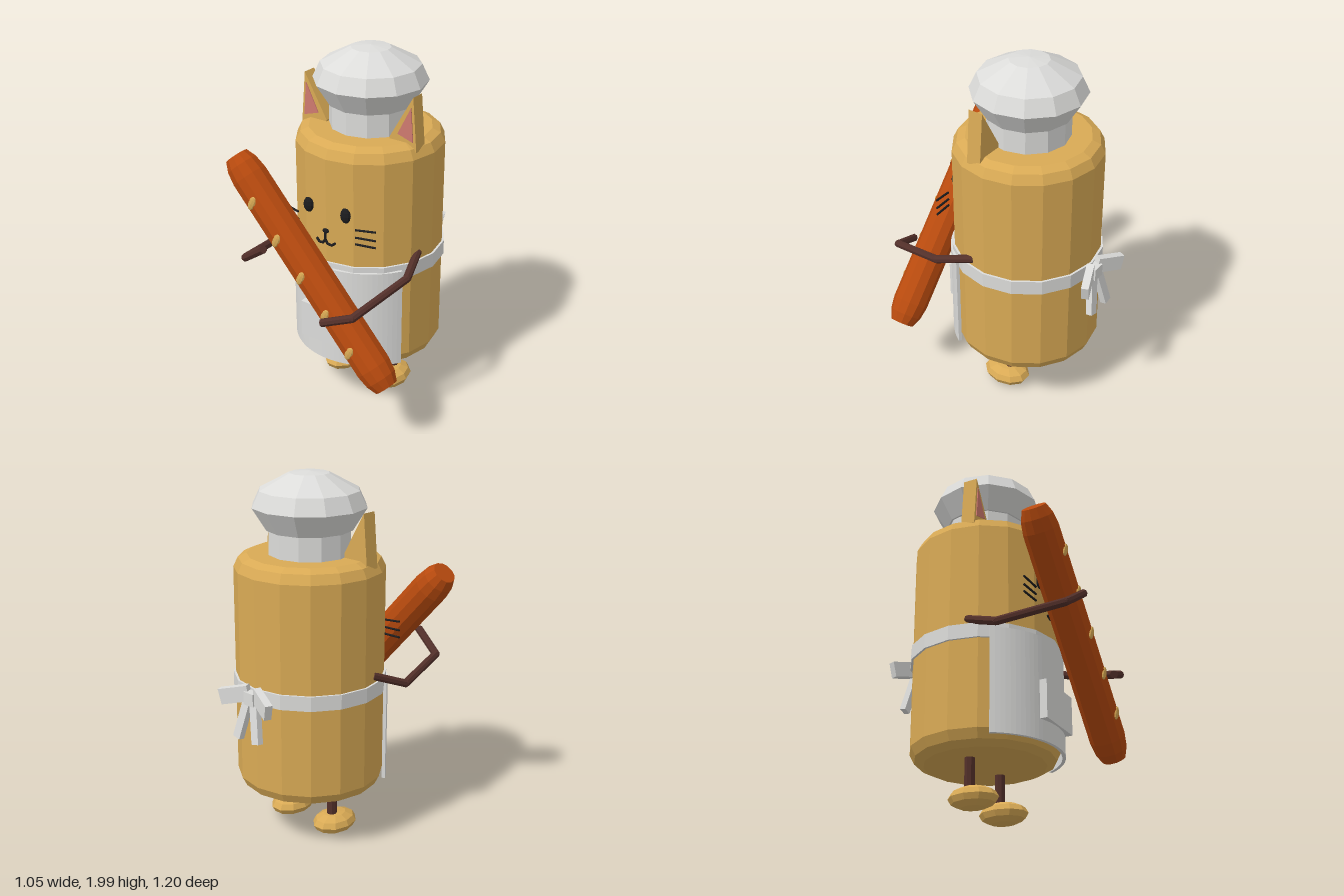
import * as THREE from 'three';

const mat = (name, color) => {
  const m = new THREE.MeshStandardMaterial({ color });
  m.name = name;
  return m;
};

export function createModel() {
  const root = new THREE.Group();
  root.name = 'bakerCat';
  const tan = mat('tan crust', 0xd9aa55);
  const white = mat('white cloth', 0xdcdcda);
  const brown = mat('dark brown', 0x53302a);
  const crust = mat('baked orange', 0xb84a0e);
  const pink = mat('ear pink', 0xcf7a70);
  const black = mat('black', 0x1c1c1e);
  const V = (x, y, z) => new THREE.Vector3(x, y, z);

  // Adds a faceted mesh
  function add(name, geo, material, pos = [0, 0, 0], rot = [0, 0, 0], parent = root) {
    const g = geo.index ? geo.toNonIndexed() : geo;
    g.computeVertexNormals();
    const mesh = new THREE.Mesh(g, material);
    mesh.name = name;
    mesh.position.set(...pos);
    mesh.rotation.set(...rot);
    parent.add(mesh);
    return mesh;
  }
  const lathe = (pts, sides) =>
    new THREE.LatheGeometry(pts.map(([r, y]) => new THREE.Vector2(r, y)), sides);
  const ball = (rx, ry, rz, w = 10, h = 6) => new THREE.SphereGeometry(1, w, h).scale(rx, ry, rz);

  // Straight rods joined through a list of points
  function rods(name, pts, radius, material) {
    const group = new THREE.Group();
    group.name = name;
    pts.slice(1).forEach((b, i) => {
      const a = pts[i];
      const d = b.clone().sub(a);
      const m = add(name + 'Segment', new THREE.CylinderGeometry(radius, radius, d.length(), 8), material,
        a.clone().add(b).multiplyScalar(0.5).toArray(), [0, 0, 0], group);
      m.quaternion.setFromUnitVectors(V(0, 1, 0), d.normalize());
      if (i > 0) add(name + 'Joint', ball(radius, radius, radius, 8, 6), material, a.toArray(), [0, 0, 0], group);
    });
    root.add(group);
  }

  const C = -0.1; // z of the body axis

  // Body
  add('body', lathe([[0, 0.28], [0.325, 0.28], [0.375, 0.305], [0.4, 0.355],
    [0.4, 1.5], [0.375, 1.55], [0.33, 1.572], [0, 1.572]], 16), tan, [0, 0, C]);

  // Hat
  add('hatBand', new THREE.CylinderGeometry(0.22, 0.22, 0.2, 12), white, [0, 1.65, C]);
  add('hatPuff', lathe([[0, 1.7], [0.23, 1.7], [0.305, 1.82], [0.265, 1.905],
    [0.105, 1.99], [0, 2]], 12), white, [0, 0, C]);

  // Ears, legs, feet, eyes, whiskers
  const triangle = (pts, s, depth) => new THREE.ExtrudeGeometry(
    new THREE.Shape(pts.map(([x, y]) => new THREE.Vector2(x * s, y))), { depth, bevelEnabled: false });
  for (const s of [1, -1]) {
    const side = s > 0 ? 'left' : 'right';
    add(side + 'Ear', triangle([[0.365, 1.53], [0.34, 1.82], [0.2, 1.58], [0.2, 1.53]], s, 0.08), tan, [0, 0, -0.06]);
    add(side + 'InnerEar', triangle([[0.345, 1.582], [0.331, 1.765], [0.252, 1.61]], s, 0.006), pink, [0, 0, 0.019]);
    add(side + 'Leg', new THREE.CylinderGeometry(0.028, 0.028, 0.22, 8), brown, [s * 0.165, 0.2, C]);
    add(side + 'Foot', ball(0.105, 0.06, 0.137), tan, [s * 0.165, 0.066, -0.078]);
    add(side + 'Eye', ball(0.031, 0.042, 0.02), black, [s * 0.119, 1.215, 0.291]);
    for (const [y0, y1] of [[1.155, 1.17], [1.112, 1.121], [1.074, 1.081]])
      rods(side + 'Whisker', [V(s * 0.185, y0, 0.296), V(s * 0.3, y1, 0.283)], 0.006, black);
    rods(side + 'Mouth', [V(0, 1.052, 0.308), V(s * 0.015, 1.03, 0.308), V(s * 0.04, 1.027, 0.306),
      V(s * 0.06, 1.043, 0.302)], 0.007, black);
  }
  rods('mouthLine', [V(0, 1.1, 0.308), V(0, 1.052, 0.308)], 0.007, black);
  add('nose', ball(0.02, 0.013, 0.012), black, [0, 1.1, 0.303]);

  // Apron: curved front panel, pocket and waistband
  const half = THREE.MathUtils.degToRad(59);
  const panel = new THREE.Shape();
  panel.absarc(0, 0, 0.42, -Math.PI / 2 - half, -Math.PI / 2 + half, false);
  panel.absarc(0, 0, 0.402, -Math.PI / 2 + half, -Math.PI / 2 - half, true);
  add('apron', new THREE.ExtrudeGeometry(panel, { depth: 0.57, bevelEnabled: false, curveSegments: 16 }),
    white, [0, 0.32, C], [-Math.PI / 2, 0, 0]);
  add('pocket', new THREE.BoxGeometry(0.305, 0.21, 0.04), white, [0, 0.535, 0.313]);
  add('waistband', lathe([[0.38, 0.84], [0.412, 0.84], [0.412, 0.92], [0.38, 0.92]], 16), white, [0, 0, C]);

  // Bow at the back
  add('bowKnot', new THREE.BoxGeometry(0.07, 0.07, 0.05), white, [0, 0.875, -0.53]);
  for (const s of [1, -1]) {
    add('bowLoop', new THREE.BoxGeometry(0.17, 0.085, 0.04), white,
      [s * 0.102, 0.878, -0.551], [0, s * 0.38, -s * 0.25]);
    add('bowTail', new THREE.BoxGeometry(0.05, 0.2, 0.035), white,
      [s * 0.05, 0.745, -0.548], [0.16, 0, s * 0.22]);
  }

  // Loaf held diagonally across the front
  const loaf = new THREE.Group();
  loaf.name = 'loaf';
  loaf.position.set(0, 0.916, 0.43);
  root.add(loaf);
  const tilt = Math.atan2(0.956, 1.062);
  add('loafCrust', lathe([[0, -0.715], [0.065, -0.715], [0.088, -0.66], [0.098, -0.59],
    [0.098, 0.59], [0.088, 0.66], [0.065, 0.715], [0, 0.715]], 12), crust, [0, 0, 0], [0, 0, tilt], loaf);
  for (let i = -2; i <= 2; i++)
    add('loafScore', ball(0.022, 0.045, 0.009, 8, 6), tan,
      [i * 0.153, -i * 0.171, 0.094], [0, 0, -0.45], loaf);

  // Arms wrapping around the loaf
  rods('leftArm', [V(0.37, 0.955, -0.01), V(0.435, 0.905, 0.19), V(0.34, 0.805, 0.54), V(0.17, 0.735, 0.572)], 0.022, brown);
  rods('rightArm', [V(-0.37, 0.955, -0.01), V(-0.43, 0.875, 0.19), V(-0.355, 0.935, 0.54), V(-0.2, 1.045, 0.572)], 0.022, brown);

  return root;
}
